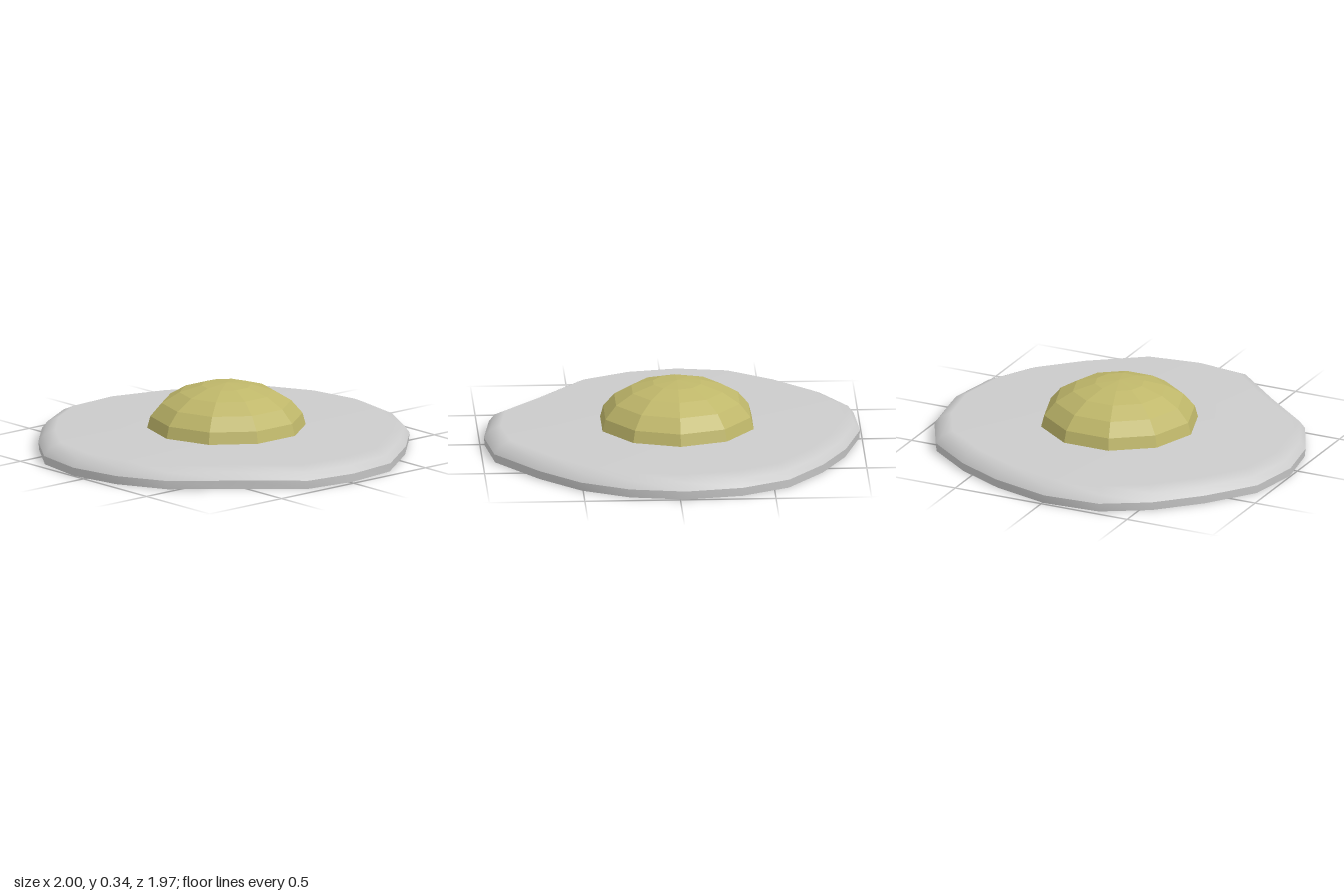
import * as THREE from 'three';

// Irregular outline of the egg white, as x, z pairs
const OUTLINE = [
  [-0.01, -0.99], [0.31, -0.9], [0.57, -0.77], [0.82, -0.58], [0.95, -0.33],
  [1, -0.03], [0.95, 0.26], [0.82, 0.51], [0.61, 0.72], [0.31, 0.94],
  [0.02, 0.98], [-0.26, 0.94], [-0.54, 0.69], [-0.82, 0.46], [-0.95, 0.2],
  [-1, -0.08], [-0.95, -0.37], [-0.77, -0.62], [-0.56, -0.83], [-0.32, -0.97],
];

// Lofts scaled copies of the outline through [scale, height] steps
function loft(steps) {
  const n = OUTLINE.length;
  const positions = [];
  const index = [];
  steps.forEach(([s, y], k) => {
    OUTLINE.forEach(([x, z], i) => {
      positions.push(x * s, y, z * s);
      if (k === steps.length - 1) return;
      const a = k * n + i;
      const b = k * n + (i + 1) % n;
      if (steps[k + 1][0] > 0) index.push(a, a + n, b + n);
      if (s > 0) index.push(a, s > 0 && steps[k + 1][0] === 0 ? a + n : b + n, b);
    });
  });
  const geometry = new THREE.BufferGeometry();
  geometry.setAttribute('position', new THREE.Float32BufferAttribute(positions, 3));
  geometry.setIndex(index);
  geometry.computeVertexNormals();
  return geometry;
}

export function createModel() {
  const group = new THREE.Group();
  group.name = 'friedEgg';

  // Egg white: flat base, low wall, and a softly rounded top; sharp between sections
  const white = new THREE.Group();
  white.name = 'eggWhite';
  const whiteMaterial = new THREE.MeshStandardMaterial({ color: 0xcccccc });
  const sections = {
    whiteBase: [[0, 0], [0.995, 0]],
    whiteWall: [[0.995, 0], [1, 0.045]],
    whiteTop: [[1, 0.045], [0.97, 0.083], [0.91, 0.11], [0, 0.11]],
  };
  for (const [name, steps] of Object.entries(sections)) {
    const mesh = new THREE.Mesh(loft(steps), whiteMaterial);
    mesh.name = name;
    white.add(mesh);
  }
  group.add(white);

  // Yolk: faceted, flattened half dome, slightly off centre
  const yolk = new THREE.Mesh(
    new THREE.SphereGeometry(0.42, 10, 5, 0, Math.PI * 2, 0, Math.PI / 2),
    new THREE.MeshStandardMaterial({ color: 0xbfb76a, flatShading: true }),
  );
  yolk.name = 'yolk';
  yolk.scale.y = 0.25 / 0.42;
  yolk.position.set(0.02, 0.095, -0.03);
  group.add(yolk);

  return group;
}
